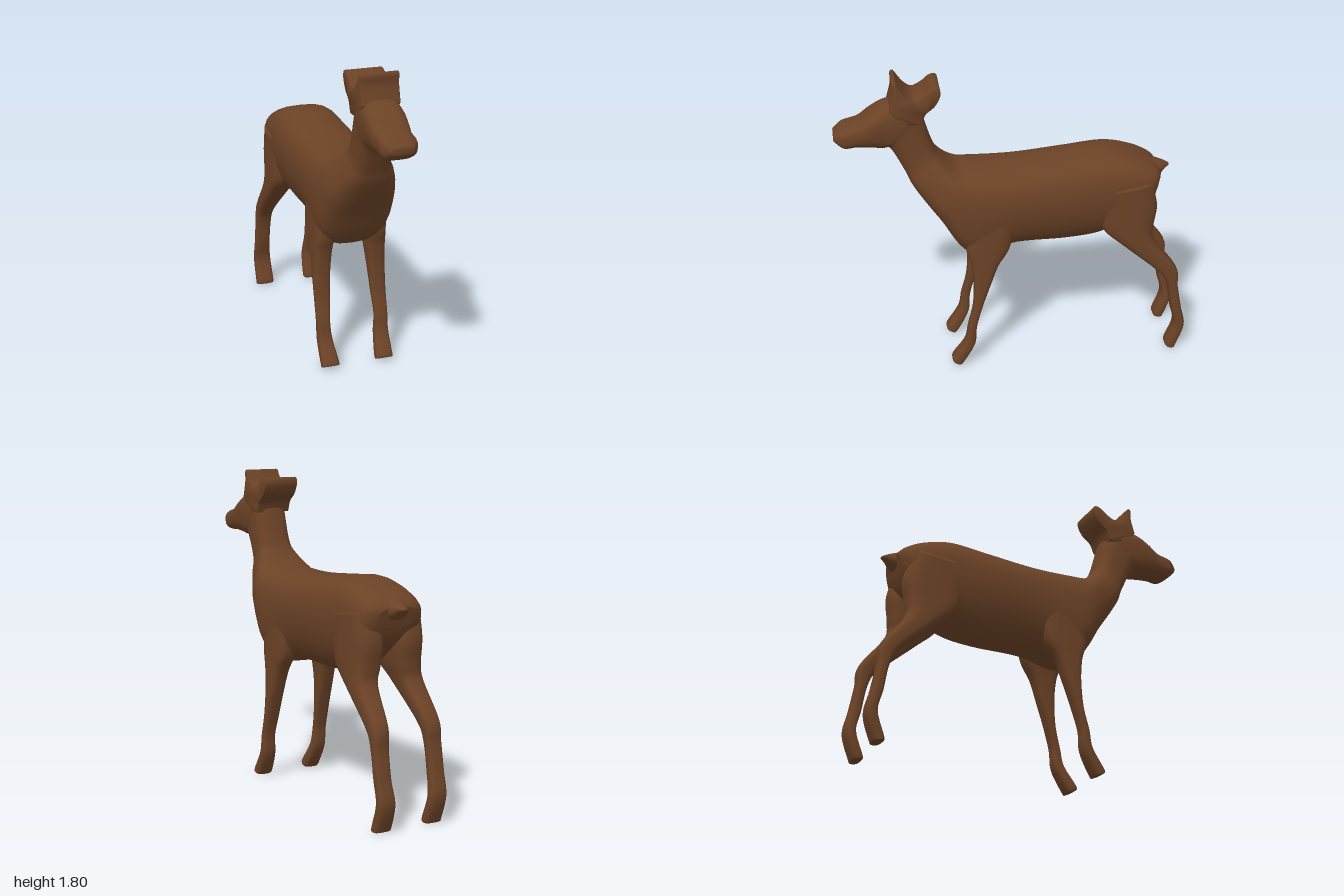
import * as THREE from 'three';
import { toCreasedNormals } from 'three/addons/utils/BufferGeometryUtils.js';

const RING = 28, STEPS = 6, FLANK = 0.215;

// Catmull-Rom blend between neighbouring numbers
const blend = (a, b, c, d, t) =>
  b + 0.5 * t * (c - a + t * (2 * a - 5 * b + 4 * c - d + t * (3 * (b - c) + d - a)));

// Skin through rounded-box sections: [z1, y1, z2, y2, half width, taper]
// (z1, y1) and (z2, y2) are the two profile edges; taper narrows the second edge.
// side 0 keeps the skin on the centre line, +1 or -1 lines it up with that flank.
function loft(sections, power, side = 0) {
  const rows = [], last = sections.length - 1;
  for (let i = 0; i < last; i++) {
    const at = k => sections[Math.min(last, Math.max(0, i + k))];
    for (let s = 0; s < STEPS; s++)
      rows.push(at(0).map((_, c) => blend(at(-1)[c], at(0)[c], at(1)[c], at(2)[c], s / STEPS)));
  }
  rows.push(sections[last]);
  const pos = [], idx = [];
  const bend = v => Math.sign(v) * Math.abs(v) ** (2 / power);
  for (const [z1, y1, z2, y2, w, taper = 0] of rows) {
    for (let j = 0; j < RING; j++) {
      const a = (j / RING) * Math.PI * 2, u = bend(Math.cos(a)), v = bend(Math.sin(a));
      const x = w * u * (1 - taper * Math.max(0, -v));
      pos.push(side * (FLANK - w) + x, (y1 + y2 + v * (y1 - y2)) / 2, (z1 + z2 + v * (z1 - z2)) / 2);
    }
  }
  for (let i = 0; i < rows.length - 1; i++) {
    for (let j = 0; j < RING; j++) {
      const k = (j + 1) % RING, a = i * RING, b = a + RING;
      idx.push(a + j, a + k, b + k, a + j, b + k, b + j);
    }
  }
  // End caps
  for (const i of [0, rows.length - 1]) {
    const [z1, y1, z2, y2, w] = rows[i], c = pos.length / 3;
    pos.push(side * (FLANK - w), (y1 + y2) / 2, (z1 + z2) / 2);
    for (let j = 0; j < RING; j++) {
      const a = i * RING + j, b = i * RING + (j + 1) % RING;
      idx.push(c, i ? a : b, i ? b : a);
    }
  }
  const g = new THREE.BufferGeometry();
  g.setAttribute('position', new THREE.Float32BufferAttribute(pos, 3));
  g.setIndex(idx);
  g.computeVertexNormals();
  return g;
}

export function createModel() {
  const model = new THREE.Group();
  model.name = 'deer';
  const coat = new THREE.MeshStandardMaterial({ color: 0x6b4226 });
  coat.name = 'brown coat';
  const add = (name, geometry) => {
    const mesh = new THREE.Mesh(geometry, coat);
    mesh.name = name;
    model.add(mesh);
  };

  // Torso, neck and head in one skin, from rump to nose
  add('bodyAndHead', loft([
    [-0.83, 1.16, -0.80, 1.05, 0.11, 0],
    [-0.79, 1.20, -0.76, 0.97, 0.18, 0.1],
    [-0.68, 1.255, -0.66, 0.88, 0.207, 0.1],
    [-0.52, 1.293, -0.50, 0.78, 0.215, 0.2],
    [-0.30, 1.275, -0.30, 0.745, 0.22, 0.3],
    [0.00, 1.25, 0.00, 0.745, 0.22, 0.25],
    [0.25, 1.253, 0.27, 0.715, 0.225, 0.05],
    [0.34, 1.26, 0.44, 0.95, 0.208, 0.08],
    [0.42, 1.33, 0.575, 1.15, 0.14, 0],
    [0.46, 1.40, 0.62, 1.25, 0.108, 0],
    [0.512, 1.58, 0.695, 1.395, 0.105, 0],
    [0.54, 1.66, 0.745, 1.402, 0.111, 0],
    [0.69, 1.665, 0.80, 1.41, 0.115, 0.08],
    [0.785, 1.62, 0.84, 1.415, 0.112, 0.08],
    [0.86, 1.567, 0.88, 1.42, 0.103, 0.05],
    [0.95, 1.54, 0.945, 1.42, 0.10, 0],
    [1.00, 1.50, 0.998, 1.46, 0.06, 0],
  ], 2.9));

  // Legs: front edge first, back edge second
  for (const [name, side] of [['left', 1], ['right', -1]]) {
    add(name + 'FrontLeg', loft([
      [0.30, 0.95, 0.02, 0.95, 0.08],
      [0.30, 0.78, 0.05, 0.78, 0.065],
      [0.272, 0.68, 0.115, 0.67, 0.056],
      [0.26, 0.55, 0.16, 0.55, 0.05],
      [0.268, 0.39, 0.215, 0.39, 0.045],
      [0.30, 0.26, 0.248, 0.26, 0.04],
      [0.32, 0.16, 0.26, 0.14, 0.044],
      [0.392, 0.045, 0.33, 0.012, 0.052],
      [0.385, 0.022, 0.345, 0.012, 0.046],
    ], 3, side));
    add(name + 'HindLeg', loft([
      [-0.46, 1.10, -0.76, 1.14, 0.08],
      [-0.46, 0.96, -0.80, 0.98, 0.09],
      [-0.49, 0.84, -0.785, 0.84, 0.085],
      [-0.60, 0.737, -0.795, 0.74, 0.07],
      [-0.82, 0.54, -0.93, 0.555, 0.053],
      [-0.88, 0.44, -0.945, 0.43, 0.048],
      [-0.91, 0.28, -0.973, 0.28, 0.047],
      [-0.935, 0.16, -0.999, 0.15, 0.052],
      [-0.892, 0.022, -0.956, 0.015, 0.055],
      [-0.905, 0.003, -0.945, 0, 0.05],
    ], 3, side));
  }

  // Ears: one curved side profile carried straight across the head
  const half = 0.108, bevel = 0.008;
  const outline = new THREE.Shape();
  outline.moveTo(0.69, 1.64);
  outline.splineThru([
    [0.667, 1.73], [0.667, 1.785], [0.655, 1.795], [0.635, 1.765], [0.60, 1.72], [0.555, 1.695],
    [0.50, 1.72], [0.46, 1.752], [0.425, 1.758], [0.42, 1.72], [0.45, 1.665], [0.50, 1.62], [0.525, 1.56],
  ].map(p => new THREE.Vector2(...p)));
  outline.lineTo(0.62, 1.56);
  const ears = new THREE.ExtrudeGeometry(outline, {
    depth: 2 * (half - bevel), curveSegments: 24, bevelThickness: bevel, bevelSize: 0.005, bevelSegments: 2,
  });
  ears.translate(0, 0, bevel - half);
  ears.rotateY(-Math.PI / 2);
  add('ears', toCreasedNormals(ears, 0.7));

  // Short tail stub
  add('tail', loft([
    [-0.892, 1.157, -0.888, 1.145, 0.012],
    [-0.87, 1.17, -0.862, 1.132, 0.032],
    [-0.83, 1.185, -0.83, 1.10, 0.06],
    [-0.76, 1.21, -0.77, 1.07, 0.09],
  ], 2.2));
  return model;
}
